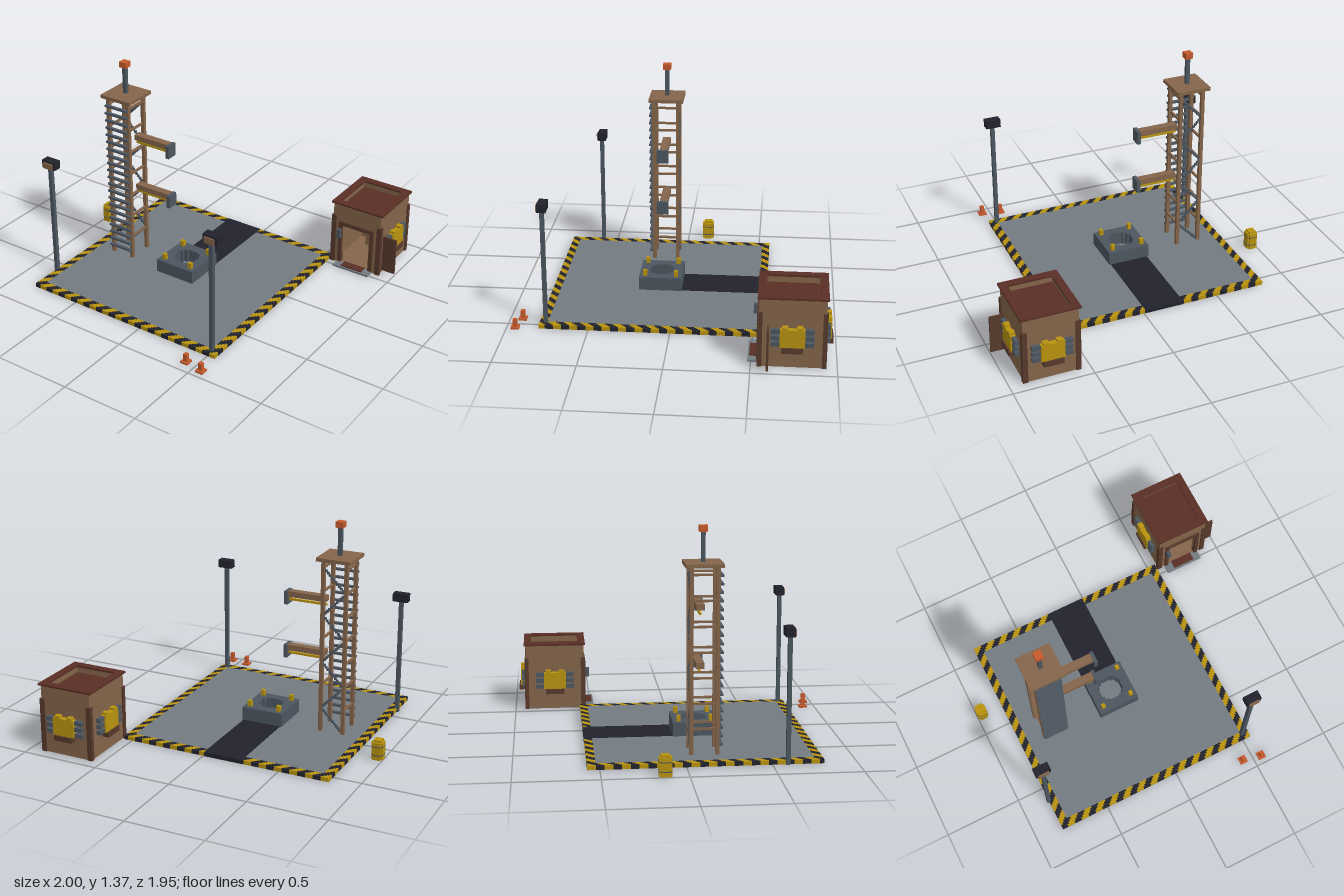
import * as THREE from 'three';
import { mergeGeometries } from 'three/addons/utils/BufferGeometryUtils.js';

const U = 0.0125; // block size everything is stepped on

function mat(name, color) {
  const m = new THREE.MeshStandardMaterial({ color });
  m.name = name;
  return m;
}

// box geometry from min/max pairs
function bg(x0, x1, y0, y1, z0, z1) {
  return new THREE.BoxGeometry(x1 - x0, y1 - y0, z1 - z0)
    .translate((x0 + x1) / 2, (y0 + y1) / 2, (z0 + z1) / 2);
}

// one mesh from one or many boxes
function add(parent, name, material, ...boxes) {
  const mesh = new THREE.Mesh(mergeGeometries(boxes.map(b => bg(...b))), material);
  mesh.name = name;
  parent.add(mesh);
  return mesh;
}

function group(parent, name, x = 0, y = 0, z = 0) {
  const g = new THREE.Group();
  g.name = name;
  g.position.set(x, y, z);
  parent.add(g);
  return g;
}

export function createModel() {
  const root = new THREE.Group();
  root.name = 'launchPadSite';
  const tan = mat('tan', 0x84654a), rust = mat('rust', 0x5a2f25), brown = mat('darkBrown', 0x57392b);
  const grey = mat('padGrey', 0x737b82), slate = mat('slate', 0x4c5660), dark = mat('nearBlack', 0x22222c);
  const yellow = mat('hazardYellow', 0xb8930f), orange = mat('signalOrange', 0xc65a2c);

  // --- landing pad with striped border
  const pad = group(root, 'pad', -0.135, 0, 0.115);
  const H = 55 * U, T = 2 * U, B = 4 * U;
  add(pad, 'padFloor', grey, [-H + B, H - B, 0, T, -H + B, H - B]);
  add(pad, 'flameTrench', dark, [-0.127, 0.128, -0.001, T + 0.001, -H - 0.0005, -0.13]);
  const stripes = [[], []];
  const N = 110;
  for (let row = 0; row < N; row++) {
    const full = row < 4 || row >= N - 4;
    let start = 0;
    for (let i = 0; i < N; i++) {
      const band = Math.floor(((i + row) % 8) / 4);
      const next = Math.floor(((i + 1 + row) % 8) / 4);
      const inBorder = full || i < 4 || i >= N - 4;
      const leaves = !full && i === 3;
      if (inBorder && (next !== band || i === N - 1 || leaves)) {
        stripes[band].push([-H + start * U, -H + (i + 1) * U, 0, T, -H + row * U, -H + (row + 1) * U]);
        start = i + 1;
      } else if (!inBorder) start = i + 1;
    }
  }
  add(pad, 'borderYellowStripes', yellow, ...stripes[0]);
  add(pad, 'borderDarkStripes', dark, ...stripes[1]);

  // --- launch stand with a stepped round hole and four clamps
  const stand = group(root, 'launchStand', -0.135, 0, 0.112);
  const rows = [];
  for (let r = -11; r < 11; r++) {
    const d = (r + 0.5) * U, w = 11 * U;
    const half = Math.abs(d) < 0.08 ? Math.round(Math.sqrt(0.0066 - d * d) / U) * U : 0;
    if (half > 0) {
      rows.push([-w, -half, -0.001, 0.112, r * U, r * U + U], [half, w, -0.001, 0.112, r * U, r * U + U]);
    } else rows.push([-w, w, -0.001, 0.112, r * U, r * U + U]);
  }
  add(stand, 'standBlock', slate, ...rows);
  for (const x of [-0.1, 0.1]) for (const z of [-0.1, 0.1])
    add(stand, 'clamp', yellow, [x - U, x + U, 0.112, 0.15, z - U, z + U]);

  // --- service tower
  const tower = group(root, 'serviceTower', -0.585, 0, 0.118);
  const posts = [], beams = [], rungs = [], braces = [];
  for (const x of [-0.075, 0.075]) {
    for (const z of [-0.075, 0.08]) posts.push([x - 0.0115, x + 0.0115, 0, 1.137, z - 0.0115, z + 0.0115]);
    for (let k = 0; k < 7; k++) {
      const y = 0.18 + k * 0.152;
      beams.push([x - 0.0065, x + 0.0065, y - 0.0065, y + 0.0065, -0.07, 0.075]);
    }
  }
  for (let k = 0; k < 21; k++) {
    const y = 0.083 + k * 0.0502;
    rungs.push([-0.084, 0.084, y - 0.0065, y + 0.0065, 0.0915, 0.112]);
  }
  // stepped zigzag bracing on the back
  for (let k = 0; k < 7; k++) for (let i = 0; i < 12; i++) {
    const x = (i - 5.5) * U * (k % 2 ? -1 : 1), y = 0.034 + k * 0.152 + i * 0.0127;
    braces.push([x - 0.007, x + 0.007, y - 0.007, y + 0.007, -0.083, -0.07]);
  }
  add(tower, 'towerPosts', tan, ...posts);
  add(tower, 'towerBeams', tan, ...beams);
  add(tower, 'ladderRungs', slate, ...rungs);
  add(tower, 'towerBraces', slate, ...braces);
  add(tower, 'towerTopPlate', tan, [-0.112, 0.112, 1.135, 1.157, -0.112, 0.112]);
  add(tower, 'mast', slate, [-U, U, 1.157, 1.335, -U, U]);
  add(tower, 'beacon', orange, [-0.025, 0.025, 1.333, 1.37, -0.025, 0.025]);
  for (const y of [0.54, 0.892]) {
    const arm = group(tower, 'serviceArm', 0, y, 0);
    add(arm, 'armBeam', tan, [0.075, 0.329, -0.036, 0, -0.03, 0.02]);
    add(arm, 'armPipe', yellow, [0.075, 0.329, -0.063, -0.05, -0.012, 0.002]);
    add(arm, 'armEndPlate', slate, [0.328, 0.351, -0.085, 0, -0.037, 0.038]);
  }

  // --- floodlights
  for (const [x, z] of [[-0.823, 0.59], [0.508, 0.765]]) {
    const lamp = group(root, 'floodlight', x, 0, z);
    add(lamp, 'lampPost', slate, [-U, U, 0, 0.765, -U, U]);
    add(lamp, 'lampHead', dark, [-0.049, 0.049, 0.762, 0.815, -0.032, 0.022]);
    add(lamp, 'lampLens', tan, [-0.034, 0.034, 0.764, 0.803, 0.022, 0.031]);
  }

  // --- fuel drum with notched corners
  const drum = group(root, 'fuelDrum', -0.965, 0, -0.1375);
  add(drum, 'drumBody', yellow, [-0.035, 0.035, 0, 0.112, -0.025, 0.025],
    [-0.024, 0.024, 0, 0.112, -0.0375, 0.0375], [-0.024, 0.024, 0.112, 0.125, -0.025, 0.025]);
  for (const y of [0.03, 0.085])
    add(drum, 'drumBand', slate, [-0.0355, 0.0355, y - 0.003, y + 0.003, -0.0255, 0.0255],
      [-0.0245, 0.0245, y - 0.003, y + 0.003, -0.038, 0.038]);

  // --- traffic cones
  for (const [x, z] of [[0.433, 0.921], [0.555, 0.946]]) {
    const cone = group(root, 'trafficCone', x, 0, z);
    add(cone, 'coneBody', orange, [-0.025, 0.025, 0, U, -0.025, 0.025], [-U, U, U, 0.061, -U, U]);
  }

  // --- control hut: hollow walls, door opening, sunken roof
  const hut = group(root, 'controlHut', 0.738, 0, -0.737);
  const X = 0.17, Z = 0.193, W = 0.025;
  add(hut, 'hutWalls', tan, [-X, X, 0, 0.43, -Z, -Z + W], [-X, -X + W, 0, 0.43, -Z, Z], [X - W, X, 0, 0.43, -Z, Z],
    [-X, -0.1, 0, 0.43, Z - W, Z], [0.1, X, 0, 0.43, Z - W, Z], [-0.1, 0.1, 0.285, 0.43, Z - W, Z]);
  add(hut, 'hutFloor', tan, [-X + W, X - W, 0, U, -Z + W, Z]);
  add(hut, 'roofDeck', rust, [-X + W, X - W, 0.375, 0.39, -Z + W, Z - W]);
  add(hut, 'roofRim', rust, [-0.184, 0.184, 0.43, 0.442, -0.203, -0.155], [-0.184, 0.184, 0.43, 0.442, 0.155, 0.203],
    [-0.184, -0.135, 0.43, 0.442, -0.155, 0.155], [0.135, 0.184, 0.43, 0.442, -0.155, 0.155]);
  for (const x of [-1, 1]) for (const z of [-1, 1])
    add(hut, 'cornerPilaster', brown, [x * 0.163 - 0.016, x * 0.163 + 0.016, 0, 0.345, z * 0.187 - 0.0135, z * 0.187 + 0.0135]);
  add(hut, 'doorFrame', brown, [-0.125, -0.1, 0, 0.31, Z - W, Z + U], [0.1, 0.125, 0, 0.31, Z - W, Z + U],
    [-0.1, 0.1, 0.285, 0.31, Z - W, Z + U]);
  add(hut, 'openDoor', brown, [X, 0.262, 0.015, 0.262, 0.134, 0.147]);
  add(hut, 'doorStep', grey, [-0.127, 0.127, 0, U, Z, 0.257]);
  add(hut, 'doorMat', rust, [-0.072, 0.075, U, 0.02, Z, 0.247]);
  add(hut, 'doorLamp', slate, [-0.125, -0.1, 0.2, 0.26, Z + U, 0.23]);
  add(hut, 'controlBoard', yellow, [-0.075, 0.07, 0.13, 0.26, -Z + W, -Z + 0.05]);
  add(hut, 'desk', tan, [-0.07, 0.1, U, 0.13, -Z + W, -0.08]);

  // wall equipment on both sides and the back
  for (const [angle, dist] of [[0, X], [Math.PI, X], [Math.PI / 2, Z]]) {
    const unit = group(hut, 'wallEquipment');
    unit.rotation.y = angle;
    const bars = [0.155, 0.195, 0.235].map(y => [dist, dist + 0.026, y - 0.013, y + 0.013, -0.125, 0.125]);
    add(unit, 'ventBars', slate, ...bars);
    add(unit, 'equipmentPanel', yellow, [dist, dist + 0.034, 0.14, 0.25, -0.073, 0.073],
      [dist, dist + 0.034, 0.25, 0.265, -0.06, -0.025], [dist, dist + 0.034, 0.25, 0.265, 0.025, 0.06]);
    add(unit, 'equipmentSill', brown, [dist, dist + 0.045, 0.107, 0.14, -0.062, 0.062]);
  }
  return root;
}
